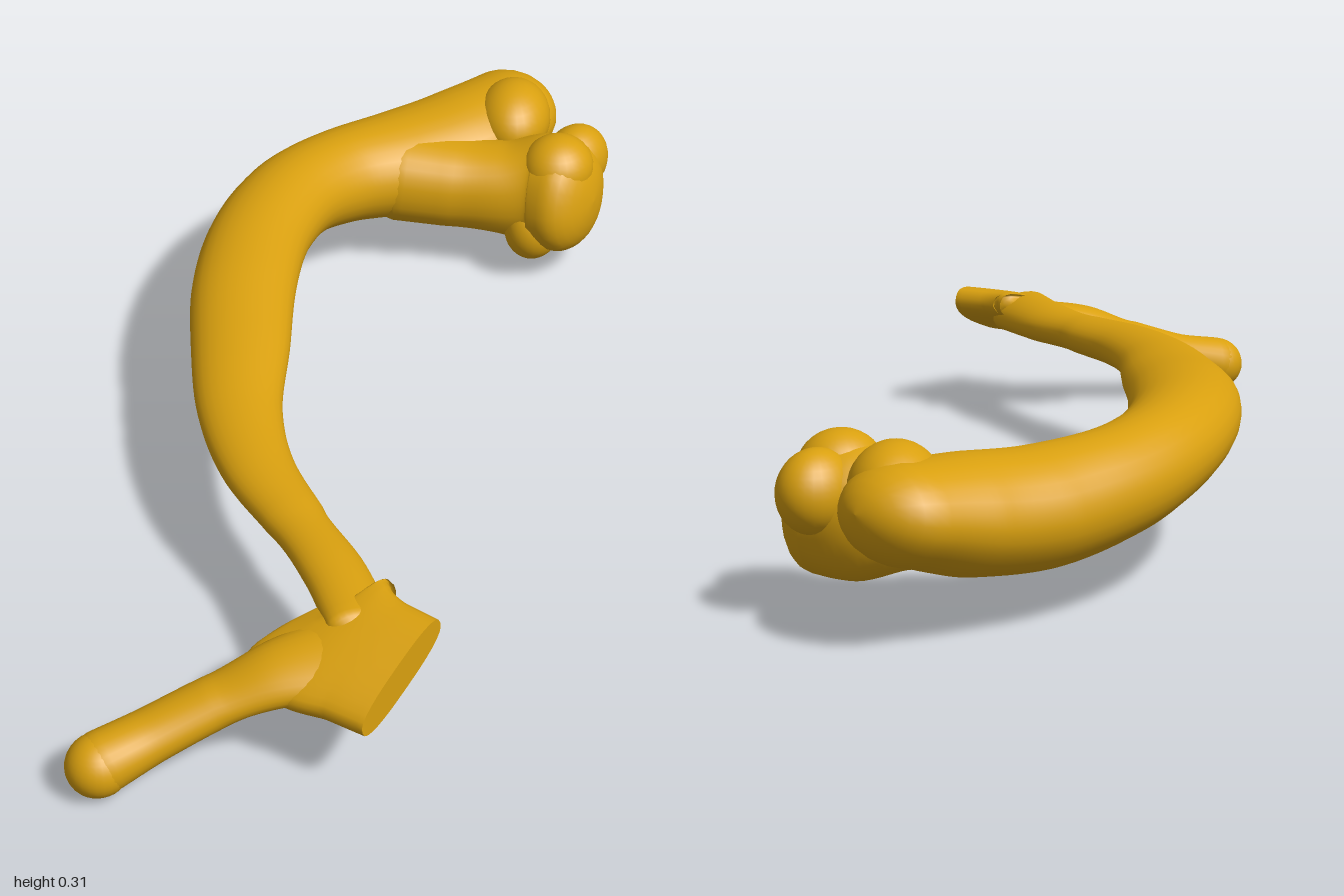
import * as THREE from 'three';

const SIDES = 28;

// Sweeps an oval section along stations [x, y, z, halfWidth, halfHeight, roll].
// capA / capB are the lengths of the rounded ends; 0 gives a flat cut.
function loft(stations, steps, capA, capB, power = 1) {
  const path = new THREE.CatmullRomCurve3(stations.map(s => new THREE.Vector3(s[0], s[1], s[2])));
  const size = new THREE.CatmullRomCurve3(stations.map(s => new THREE.Vector3(s[3], s[4], s[5] || 0)));
  const pos = [], index = [];

  const ring = (t, offset, scale) => {
    const T = path.getTangent(t);
    const c = path.getPoint(t).addScaledVector(T, offset);
    const r = size.getPoint(t);
    const S = new THREE.Vector3().crossVectors(T, new THREE.Vector3(0, 1, 0)).normalize();
    const V = new THREE.Vector3().crossVectors(S, T);
    S.applyAxisAngle(T, -r.z);
    V.applyAxisAngle(T, -r.z);
    for (let j = 0; j < SIDES; j++) {
      const a = j / SIDES * Math.PI * 2;
      const bend = v => Math.sign(v) * Math.pow(Math.abs(v), power);
      const p = c.clone()
        .addScaledVector(S, bend(Math.cos(a)) * r.x * scale)
        .addScaledVector(V, bend(Math.sin(a)) * r.y * scale);
      pos.push(p.x, p.y, p.z);
    }
  };
  const cap = (t, length, dir) => {
    const rings = [];
    if (length === 0) rings.push([0, 1], [0, 0.001]);
    else for (let k = 1; k <= 7; k++) {
      const a = k / 7 * Math.PI / 2;
      rings.push([dir * length * Math.sin(a), Math.max(Math.cos(a), 0.001)]);
    }
    if (dir < 0) rings.reverse();
    rings.forEach(([o, s]) => ring(t, o, s));
  };

  cap(0, capA, -1);
  for (let i = 0; i <= steps; i++) ring(i / steps, 0, 1);
  cap(1, capB, 1);

  const count = pos.length / 3 / SIDES;
  for (let i = 0; i < count - 1; i++) for (let j = 0; j < SIDES; j++) {
    const k = (j + 1) % SIDES;
    const a = i * SIDES + j, b = i * SIDES + k, c = a + SIDES, d = b + SIDES;
    index.push(a, c, b, b, c, d);
  }
  const g = new THREE.BufferGeometry();
  g.setAttribute('position', new THREE.Float32BufferAttribute(pos, 3));
  g.setIndex(index);
  g.computeVertexNormals();
  return g;
}

export function createModel() {
  const group = new THREE.Group();
  const bone = new THREE.MeshStandardMaterial({ color: 0xd9a00f });
  bone.name = 'golden ochre';

  const add = (name, geometry) => {
    const m = new THREE.Mesh(geometry, bone);
    m.name = name;
    group.add(m);
    return m;
  };
  const knob = (name, p, r, rot = [0, 0, 0]) => {
    const m = add(name, new THREE.SphereGeometry(1, 28, 18));
    m.position.set(...p);
    m.scale.set(...r);
    m.rotation.set(...rot);
  };

  // Long curved shaft, swelling towards the rear head
  add('curvedShaft', loft([
    [0.41, 0.205, 0.56, 0.06, 0.036, -0.3],
    [0.30, 0.207, 0.48, 0.056, 0.036, -0.15],
    [0.16, 0.209, 0.405, 0.054, 0.037],
    [0.03, 0.213, 0.335, 0.064, 0.041],
    [-0.09, 0.218, 0.23, 0.075, 0.045],
    [-0.205, 0.224, 0.08, 0.09, 0.054],
    [-0.315, 0.23, -0.075, 0.097, 0.064],
    [-0.40, 0.227, -0.24, 0.096, 0.073],
    [-0.44, 0.214, -0.40, 0.095, 0.081],
    [-0.43, 0.195, -0.53, 0.10, 0.09],
    [-0.375, 0.18, -0.67, 0.118, 0.098],
    [-0.318, 0.188, -0.79, 0.125, 0.097],
    [-0.285, 0.208, -0.90, 0.11, 0.082],
  ], 90, 0.03, 0.1));

  // Rear head: raised crest on the end of the shaft
  knob('rearCrest', [-0.24, 0.235, -0.86], [0.075, 0.075, 0.10], [0, 0.5, 0]);

  // Inner condyle branching sideways from the head
  add('innerCondyle', loft([
    [-0.36, 0.175, -0.64, 0.10, 0.09],
    [-0.27, 0.165, -0.69, 0.095, 0.088],
    [-0.18, 0.16, -0.735, 0.092, 0.09, 0.1],
    [-0.11, 0.16, -0.77, 0.102, 0.112, 0.25],
    [-0.055, 0.165, -0.775, 0.106, 0.112, 0.3],
  ], 30, 0.05, 0.062, 0.9));
  knob('condyleHorn', [-0.08, 0.205, -0.845], [0.06, 0.07, 0.075]);
  knob('condyleTop', [-0.075, 0.225, -0.77], [0.07, 0.066, 0.075]);
  knob('condyleFoot', [-0.095, 0.105, -0.72], [0.055, 0.066, 0.06]);

  // Tilted plate at the fork, cut flat at the midline
  add('forkPlate', loft([
    [0.335, 0.185, 0.58, 0.10, 0.026, -0.35],
    [0.36, 0.187, 0.60, 0.145, 0.031, -0.35],
    [0.40, 0.189, 0.61, 0.135, 0.034, -0.35],
    [0.46, 0.19, 0.613, 0.119, 0.035, -0.35],
    [0.53, 0.19, 0.612, 0.116, 0.035, -0.35],
  ], 24, 0.012, 0, 0.75));

  // Short front arm sloping down to a rounded tip
  add('frontArm', loft([
    [0.42, 0.182, 0.62, 0.085, 0.034, 0.25],
    [0.345, 0.162, 0.695, 0.066, 0.038, 0.15],
    [0.275, 0.122, 0.775, 0.052, 0.038],
    [0.215, 0.083, 0.86, 0.051, 0.042],
    [0.172, 0.057, 0.935, 0.054, 0.052],
  ], 34, 0.03, 0.06));
  knob('frontArmTip', [0.168, 0.053, 0.944], [0.054, 0.053, 0.056]);

  return group;
}
